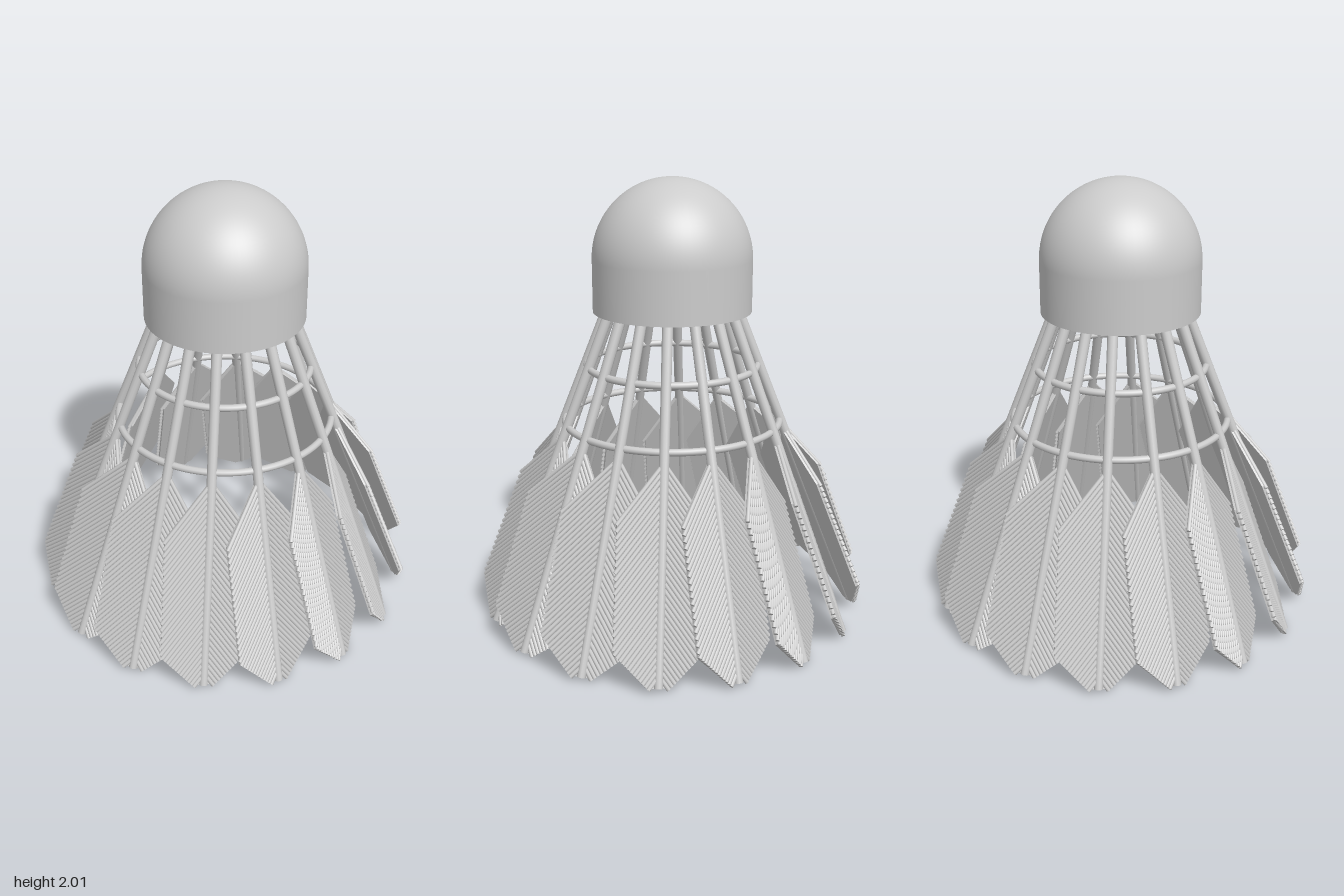
import * as THREE from 'three';
import { mergeGeometries } from 'three/addons/utils/BufferGeometryUtils.js';

const COUNT = 16;        // feathers around the skirt
const LEAN = 0.38;       // outward lean of each shaft
const TWIST = 0.38;      // overlap twist of each vane
const FOOT_R = 0.86;     // radius of the skirt at the ground
const HALF_W = 0.195;    // half width of a vane
const APEX = 0.94, SLOPE = 1.3, CORNER = 0.15, TIP_W = 0.04;

// Rod between two points
function rod(a, b, r0, r1, sides) {
  const dir = b.clone().sub(a);
  const g = new THREE.CylinderGeometry(r1, r0, dir.length(), sides);
  g.applyQuaternion(new THREE.Quaternion().setFromUnitVectors(
    new THREE.Vector3(0, 1, 0), dir.normalize()));
  const mid = a.clone().add(b).multiplyScalar(0.5);
  return g.translate(mid.x, mid.y, mid.z);
}

// Thin plate behind the barbs: smooth on the inner side
function vaneGeometry() {
  const shoulder = APEX - SLOPE * HALF_W;
  const right = [[TIP_W, 0.01], [HALF_W, CORNER], [HALF_W, shoulder]];
  const left = right.map(([x, y]) => [-x, y]).reverse();
  const pts = [...right, [0, APEX], ...left].map(p => new THREE.Vector2(...p));
  return new THREE.ExtrudeGeometry(new THREE.Shape(pts), { depth: 0.014, bevelEnabled: false })
    .translate(0, 0, -0.014);
}

// Slanted barbs running from the shaft out to the edge of the vane
function barbGeometry() {
  const parts = [];
  const k = CORNER / (HALF_W - TIP_W);
  for (let s = APEX - 0.01; s > 0.05; s -= 0.028) {
    const x = Math.min(HALF_W + 0.004, (s + k * TIP_W) / (SLOPE + k));
    for (const side of [-1, 1]) {
      parts.push(rod(new THREE.Vector3(0, s, 0.002),
        new THREE.Vector3(side * x, s - SLOPE * x, 0.002), 0.0095, 0.0095, 8));
    }
  }
  return mergeGeometries(parts);
}

export function createModel() {
  const model = new THREE.Group();
  model.name = 'shuttlecock';
  const mat = new THREE.MeshStandardMaterial({ color: 0xcccccc });
  const add = (parent, name, geometry) => {
    const mesh = new THREE.Mesh(geometry, mat);
    mesh.name = name;
    parent.add(mesh);
    return mesh;
  };

  // Domed cork: flat base, straight wall, hemispherical nose
  const R = 0.357, base = 1.41, wallTop = 2 - R;
  add(model, 'corkDome', new THREE.SphereGeometry(R, 64, 24, 0, Math.PI * 2, 0, Math.PI / 2))
    .position.y = wallTop;
  add(model, 'corkWall', new THREE.CylinderGeometry(R, R, wallTop - base, 64, 1, true))
    .position.y = (base + wallTop) / 2;
  add(model, 'corkBase', new THREE.CircleGeometry(R, 64).rotateX(Math.PI / 2))
    .position.y = base;

  // Binding rings
  for (const [name, y, r] of [['upperRing', 1.165, 0.388], ['lowerRing', 0.905, 0.493]]) {
    add(model, name, new THREE.TorusGeometry(r, 0.016, 10, 80).rotateX(Math.PI / 2))
      .position.y = y;
  }

  // Feathers share their geometry
  const shaft = rod(new THREE.Vector3(0, 0.01, 0), new THREE.Vector3(0, 1.56, 0), 0.019, 0.024, 12);
  const vane = vaneGeometry();
  const barbs = barbGeometry();
  for (let i = 0; i < COUNT; i++) {
    const spoke = new THREE.Group();
    spoke.name = 'feather' + (i + 1);
    spoke.rotation.y = (i / COUNT) * Math.PI * 2;
    const feather = new THREE.Group();
    feather.name = 'leaningFeather';
    feather.position.z = FOOT_R;
    feather.rotation.set(-LEAN, TWIST, 0);
    add(feather, 'shaft', shaft);
    add(feather, 'vane', vane);
    add(feather, 'barbs', barbs);
    spoke.add(feather);
    model.add(spoke);
  }
  return model;
}
